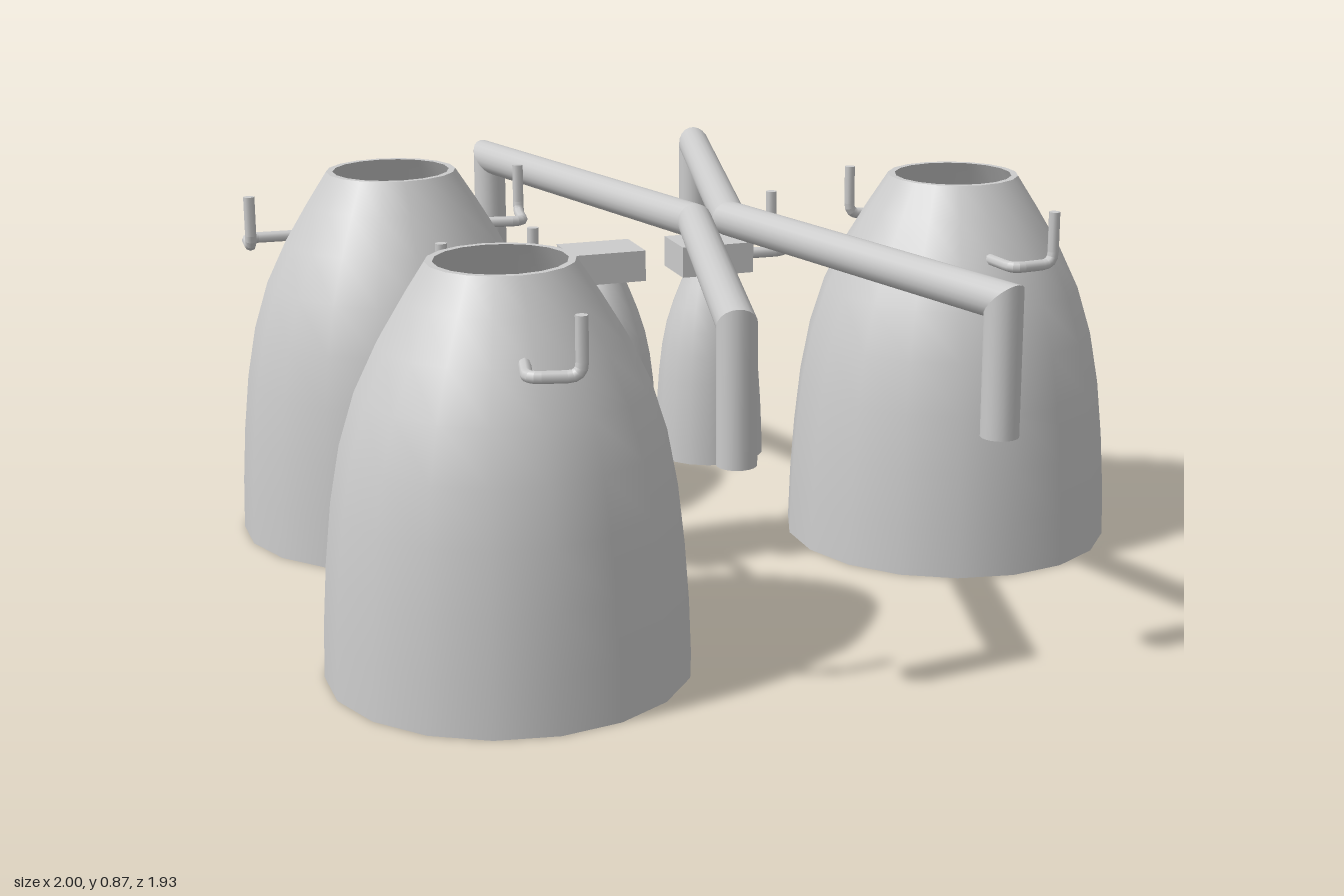
import * as THREE from 'three';
import { mergeGeometries } from 'three/addons/utils/BufferGeometryUtils.js';

const material = new THREE.MeshStandardMaterial({ color: 0xcccccc });
const V = (x, y, z) => new THREE.Vector3(x, y, z);

function addMesh(parent, geometry, name, x = 0, y = 0, z = 0) {
  const mesh = new THREE.Mesh(geometry, material);
  mesh.name = name;
  mesh.position.set(x, y, z);
  parent.add(mesh);
  return mesh;
}

// Round rod along a polyline, with mitred joints and closed ends
function sweep(points, radius, sides) {
  const pos = [], nor = [], idx = [];
  const push = (p, n) => { pos.push(p.x, p.y, p.z); nor.push(n.x, n.y, n.z); return pos.length / 3 - 1; };
  const dirs = points.slice(1).map((p, i) => p.clone().sub(points[i]).normalize());
  const cap = (ring, centre, normal, flip) => {
    const c = push(centre, normal);
    ring.forEach((p) => push(p, normal));
    for (let k = 0; k < sides; k++) {
      const a = c + 1 + k, b = c + 1 + (k + 1) % sides;
      idx.push(c, flip ? b : a, flip ? a : b);
    }
  };

  const d0 = dirs[0];
  const u = V(Math.abs(d0.x) > 0.9 ? 0 : 1, 0, Math.abs(d0.x) > 0.9 ? 1 : 0).cross(d0).normalize();
  const v = d0.clone().cross(u);
  let ring = Array.from({ length: sides }, (_, k) => {
    const t = k / sides * Math.PI * 2;
    return points[0].clone().addScaledVector(u, radius * Math.cos(t)).addScaledVector(v, radius * Math.sin(t));
  });
  cap(ring, points[0], d0.clone().negate(), true);

  dirs.forEach((d, i) => {
    const end = points[i + 1];
    const plane = d.clone().add(dirs[i + 1] || d).normalize();
    // slide the ring along the segment to the plane of the joint
    const next = ring.map((p) => p.clone().addScaledVector(d, end.clone().sub(p).dot(plane) / d.dot(plane)));
    const base = pos.length / 3;
    ring.forEach((p, k) => {
      const n = p.clone().sub(points[i]);
      n.addScaledVector(d, -n.dot(d)).normalize();
      push(p, n);
      push(next[k], n);
    });
    for (let k = 0; k < sides; k++) {
      const a = base + 2 * k, b = base + 2 * ((k + 1) % sides);
      idx.push(a, b, b + 1, a, b + 1, a + 1);
    }
    ring = next;
  });
  cap(ring, points[points.length - 1], dirs[dirs.length - 1], false);

  const g = new THREE.BufferGeometry();
  g.setAttribute('position', new THREE.Float32BufferAttribute(pos, 3));
  g.setAttribute('normal', new THREE.Float32BufferAttribute(nor, 3));
  g.setIndex(idx);
  return g;
}

// Replace the inner corners of a polyline with short curves
function rounded(points, r) {
  const out = [points[0]];
  for (let i = 1; i < points.length - 1; i++) {
    const p = points[i];
    const toward = (q) => p.clone().addScaledVector(q.clone().sub(p).normalize(), r);
    out.push(...new THREE.QuadraticBezierCurve3(toward(points[i - 1]), p, toward(points[i + 1])).getPoints(4));
  }
  out.push(points[points.length - 1]);
  return out;
}

// Hollow bell: smooth outside and inside, sharp flat rims
function bellGeometry() {
  const outer = [[0.385, 0], [0.381, 0.12], [0.372, 0.25], [0.358, 0.38], [0.336, 0.5],
    [0.302, 0.61], [0.254, 0.71], [0.2, 0.8], [0.153, 0.873]].map(([r, y]) => new THREE.Vector2(r, y));
  const inner = outer.map((p, i) => new THREE.Vector2(p.x - 0.026 + 0.0013 * i, p.y)).reverse();
  const top = [outer[8], inner[0]], bottom = [inner[8], outer[0]];
  return mergeGeometries([outer, top, inner, bottom].map((p) => new THREE.LatheGeometry(p, 18)));
}

export function createModel() {
  const model = new THREE.Group();
  model.name = 'engineCluster';
  const bell = bellGeometry();
  const hookGeometry = sweep(rounded(
    [V(0, 0, -0.015), V(0, 0, 0.1), V(0.105, 0, 0.1), V(0.105, 0.12, 0.1)], 0.028), 0.013, 8);
  const hook = (x, z, angle) => {
    addMesh(model, hookGeometry, 'feedHook', x, 0.718, z).rotation.y = angle;
  };

  // Three large bells
  for (const [x, z] of [[0.62, 0.012], [-0.62, -0.478], [-0.62, 0.528]]) {
    addMesh(model, bell, 'mainBell', x, 0, z);
  }

  // Two small bells, each under a mounting block
  for (const x of [-0.247, 0.012]) {
    addMesh(model, bell, 'smallBell', x, 0.252, 0).scale.set(0.328, 0.503, 0.328);
    addMesh(model, new THREE.BoxGeometry(0.17, 0.07, 0.13), 'mountingBlock', x, 0.722, 0);
  }

  // Bent hooks: two on each large bell, one on each block
  const P = Math.PI;
  hook(0.605, 0.25, 0.1);
  hook(0.61, -0.23, P + 0.06);
  hook(-0.385, -0.53, P / 2 - 0.15);
  hook(-0.86, -0.54, -P / 2 - 0.05);
  hook(-0.56, 0.295, P - 0.03);
  hook(-0.64, 0.765, -0.22);
  hook(-0.335, 0, -P / 2);
  hook(0.1, 0.005, P / 2 - 0.03);

  // Two V-shaped overhead pipes with legs turned down at both ends
  for (const [apex, end] of [[-0.022, -0.262], [0.062, 0.303]]) {
    addMesh(model, sweep([V(end, 0.522, -0.928), V(end, 0.802, -0.928), V(apex, 0.802, 0),
      V(end, 0.802, 0.925), V(end, 0.522, 0.925)], 0.04, 20), 'overheadPipe');
  }
  return model;
}
